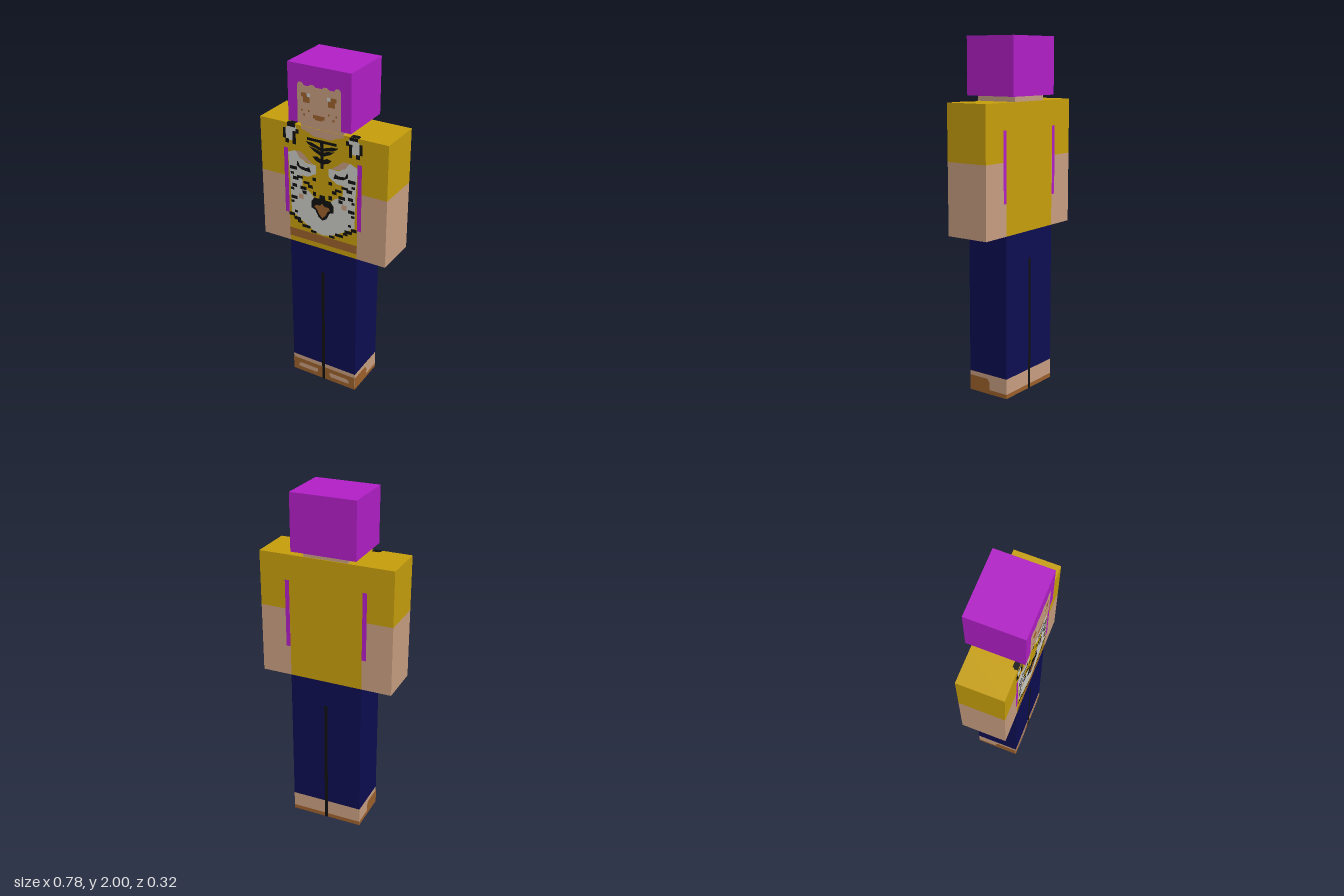
import * as THREE from 'three';

const paint = (name, color) => {
  const m = new THREE.MeshStandardMaterial({ color });
  m.name = name;
  return m;
};

export function createModel() {
  const root = new THREE.Group();
  const purple = paint('purple', 0xb31fc8);
  const skin = paint('skin', 0xc99f82);
  const yellow = paint('yellow', 0xc8a00c);
  const navy = paint('navy', 0x0d0d52);
  const black = paint('black', 0x111111);
  const white = paint('white', 0xcdcdc9);
  const brown = paint('brown', 0x9e612c);

  const add = (name, geometry, material) => {
    const mesh = new THREE.Mesh(geometry, material);
    mesh.name = name;
    root.add(mesh);
  };
  // Box given by its limits on each axis
  const box = (name, mat, x0, x1, y0, y1, z0, z1) =>
    add(name, new THREE.BoxGeometry(x1 - x0, y1 - y0, z1 - z0)
      .translate((x0 + x1) / 2, (y0 + y1) / 2, (z0 + z1) / 2), mat);
  // Flat painted rectangle facing the front or the back
  const rect = (x0, x1, y0, y1, z) => {
    const g = new THREE.PlaneGeometry(x1 - x0, y1 - y0);
    if (z < 0) g.rotateY(Math.PI);
    return g.translate((x0 + x1) / 2, (y0 + y1) / 2, z);
  };
  // Painted outlines on the front, each mirrored across the centre line
  const mirrored = (name, mat, z, ...outlines) => {
    const shapes = outlines.flatMap(points => [1, -1].map(s =>
      new THREE.Shape(points.map(([x, y]) => new THREE.Vector2(s * x, y)))));
    add(name, new THREE.ShapeGeometry(shapes).translate(0, 0, z), mat);
  };
  // Corners of a small block mark
  const block = (x0, x1, y0, y1) => [[x0, y0], [x1, y0], [x1, y1], [x0, y1]];

  // Head, neck and shirt
  box('head', purple, -0.188, 0.188, 1.68, 2, -0.158, 0.158);
  box('neck', skin, -0.13, 0.13, 1.65, 1.68, -0.125, 0.128);
  box('shirt', yellow, -0.215, 0.215, 0.93, 1.65, -0.13, 0.13);
  add('belt', rect(-0.215, 0.215, 0.963, 1.015, 0.133), brown);

  // Face below a ragged fringe
  mirrored('face', skin, 0.16, [[0, 1.68], [0.13, 1.68], [0.13, 1.89], [0.12, 1.905],
    [0.1, 1.905], [0.09, 1.89], [0.06, 1.89], [0.05, 1.9], [0.03, 1.9], [0.02, 1.89], [0, 1.89]]);
  mirrored('eyes', brown, 0.162, block(0.055, 0.095, 1.8, 1.835), block(0.07, 0.105, 1.83, 1.852));
  mirrored('eyeHighlights', white, 0.163, block(0.05, 0.07, 1.832, 1.852));
  mirrored('mouth', brown, 0.162, block(0, 0.035, 1.722, 1.742), block(0, 0.022, 1.715, 1.722));
  mirrored('freckles', brown, 0.162, block(0.082, 0.094, 1.725, 1.737),
    block(0.055, 0.065, 1.752, 1.762), block(0.098, 0.107, 1.75, 1.76));

  // Neckline and tiger head on the chest: pale areas first
  mirrored('neckline', skin, 0.132,
    [[0, 1.605], [0.055, 1.605], [0.08, 1.62], [0.13, 1.635], [0.13, 1.65], [0, 1.65]]);
  mirrored('tigerEars', white, 0.132,
    [[0.145, 1.61], [0.165, 1.64], [0.215, 1.635], [0.235, 1.6], [0.22, 1.55], [0.18, 1.555], [0.18, 1.61]]);
  mirrored('tigerCheeks', white, 0.132,
    [[0, 1.02], [0.05, 1.03], [0.12, 1.07], [0.2, 1.12], [0.205, 1.32], [0.215, 1.48], [0.17, 1.5],
      [0.13, 1.46], [0.1, 1.44], [0.04, 1.44], [0.04, 1.39], [0.09, 1.36], [0.13, 1.36],
      [0.125, 1.29], [0.08, 1.27], [0.05, 1.24], [0, 1.24]]);
  mirrored('tigerTemples', skin, 0.133,
    [[0.05, 1.44], [0.08, 1.46], [0.13, 1.5], [0.165, 1.5], [0.14, 1.46], [0.09, 1.445]],
    block(0.12, 0.15, 1.215, 1.245));

  // Dark stripes of the tiger head
  mirrored('earOutlines', black, 0.134, block(0.165, 0.215, 1.632, 1.65),
    block(0.225, 0.242, 1.56, 1.62), block(0.205, 0.228, 1.535, 1.56),
    block(0.162, 0.182, 1.535, 1.61), block(0.145, 0.162, 1.6, 1.625));
  mirrored('foreheadStripes', black, 0.134, block(0, 0.01, 1.43, 1.59),
    [[0, 1.578], [0.09, 1.578], [0.09, 1.594], [0, 1.594]],
    [[0, 1.53], [0.08, 1.552], [0.1, 1.57], [0.06, 1.568], [0, 1.548]],
    [[0, 1.5], [0.05, 1.522], [0.08, 1.545], [0.03, 1.535], [0, 1.525]],
    [[0, 1.455], [0.04, 1.47], [0.06, 1.49], [0.03, 1.495], [0, 1.48]]);
  mirrored('brows', black, 0.134,
    [[0.07, 1.39], [0.13, 1.395], [0.16, 1.415], [0.155, 1.445], [0.14, 1.415], [0.1, 1.41], [0.08, 1.42]]);
  mirrored('cheekStripes', black, 0.134, block(0.16, 0.205, 1.385, 1.405),
    block(0.12, 0.16, 1.34, 1.355), block(0.15, 0.185, 1.325, 1.345), block(0.18, 0.2, 1.355, 1.37),
    block(0.16, 0.19, 1.28, 1.3), block(0.18, 0.2, 1.26, 1.275), block(0.16, 0.2, 1.205, 1.225),
    block(0.18, 0.2, 1.18, 1.195));
  mirrored('muzzleStripes', black, 0.134, block(0.04, 0.06, 1.345, 1.365),
    block(0.08, 0.12, 1.315, 1.33), block(0.06, 0.09, 1.295, 1.315), block(0.1, 0.14, 1.275, 1.295),
    block(0.04, 0.06, 1.255, 1.28), block(0.1, 0.125, 1.25, 1.27));
  mirrored('noseOutline', black, 0.134,
    [[0, 1.115], [0.025, 1.13], [0.045, 1.17], [0.07, 1.18], [0.07, 1.22], [0.05, 1.245],
      [0.02, 1.245], [0.015, 1.27], [0, 1.27]]);
  mirrored('nose', brown, 0.136,
    [[0, 1.13], [0.02, 1.15], [0.035, 1.18], [0.05, 1.19], [0.04, 1.205], [0.015, 1.205], [0, 1.22]]);
  mirrored('chinOutline', black, 0.134, block(0.18, 0.215, 1.095, 1.115),
    block(0.14, 0.185, 1.075, 1.095), block(0.13, 0.16, 1.06, 1.075),
    block(0.08, 0.13, 1.04, 1.058), block(0.04, 0.075, 1.02, 1.035), block(0.16, 0.18, 1.12, 1.135));

  // Trousers, ankles and soles
  box('trousers', navy, -0.215, 0.215, 0.115, 0.93, -0.13, 0.13);
  box('ankles', skin, -0.215, 0.215, 0.025, 0.115, -0.13, 0.13);
  box('soles', brown, -0.215, 0.215, 0, 0.025, -0.13, 0.13);
  for (const z of [0.134, -0.132])
    add('legGap', rect(-0.01, 0.01, 0, 0.775, z), black);
  box('soleGap', black, -0.006, 0.006, -0.001, 0.001, -0.13, 0.13);

  // Shoe fronts with their openings
  mirrored('shoeFronts', brown, 0.132, block(0, 0.215, 0.025, 0.09));
  mirrored('shoeOpenings', skin, 0.133,
    [[0.05, 0.031], [0.175, 0.031], [0.175, 0.052], [0.16, 0.061], [0.04, 0.061], [0.04, 0.045]]);

  for (const s of [-1, 1]) {
    const side = s > 0 ? 'left' : 'right';
    const span = (a, b) => (s > 0 ? [a, b] : [-b, -a]);

    // Arms with short sleeves
    box(`${side}Sleeve`, yellow, ...span(0.215, 0.39), 1.335, 1.65, -0.13, 0.13);
    box(`${side}Arm`, skin, ...span(0.215, 0.39), 0.93, 1.335, -0.13, 0.13);

    // Purple seams, front and back
    for (const z of [0.133, -0.132])
      add(`${side}Seam`, rect(...span(0.215, 0.24), 1.11, 1.505, z), purple);

    // Dark ear tips carried onto the shoulder top, in two steps
    for (const [a, b, z0, z1] of [[0.17, 0.218, 0.109, 0.13], [0.17, 0.21, 0.1, 0.109]])
      box(`${side}EarTip`, black, ...span(a, b), 1.648, 1.652, z0, z1);

    // Toe of the shoe wrapped onto the side
    const toe = new THREE.Shape([[0.13, 0.02], [0.13, 0.09], [0.005, 0.09], [-0.012, 0.07], [-0.012, 0.02]]
      .map(([z, y]) => new THREE.Vector2(-s * z, y)));
    add(`${side}ShoeSide`, new THREE.ShapeGeometry(toe)
      .rotateY(s * Math.PI / 2).translate(s * 0.217, 0, 0), brown);
  }
  return root;
}
